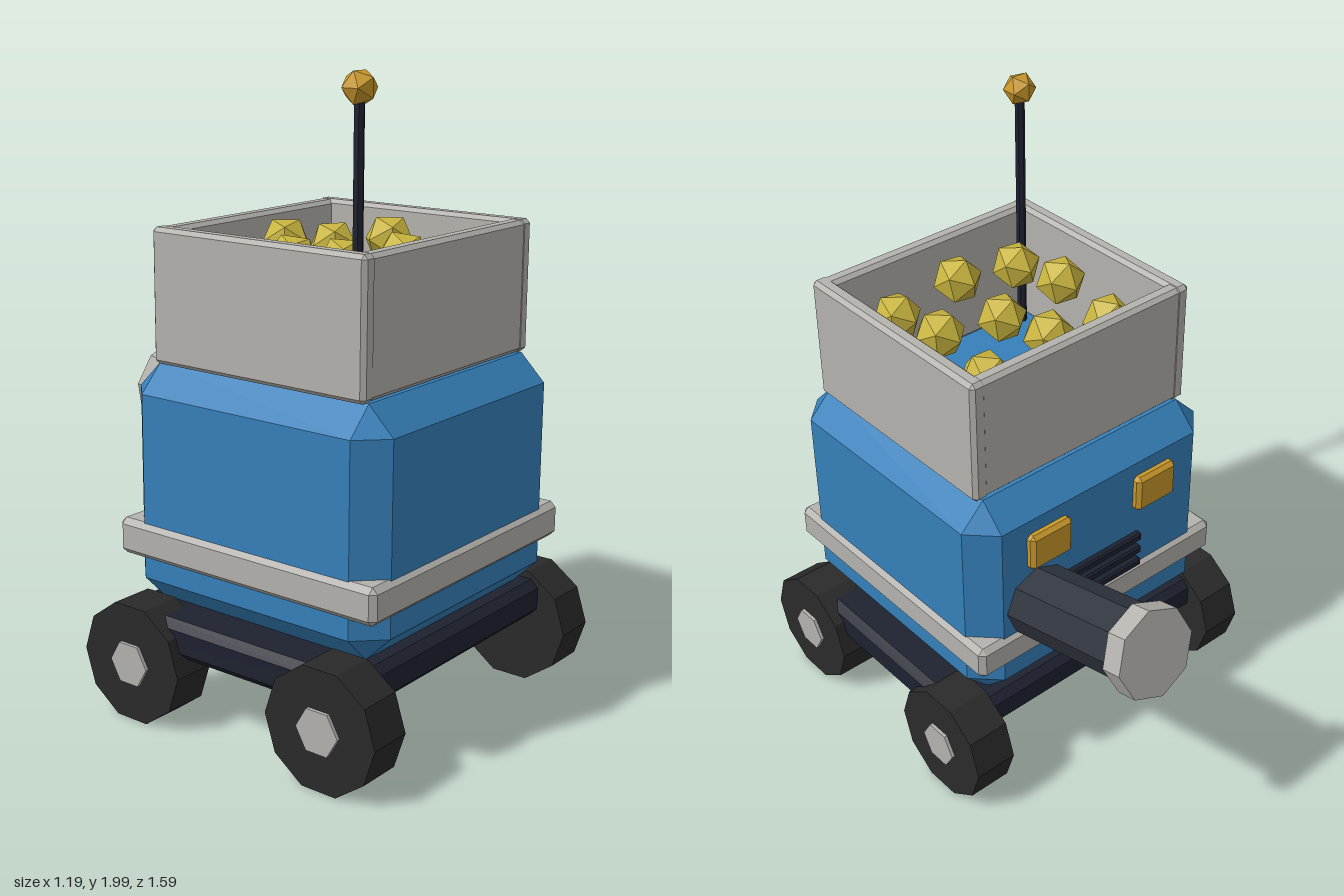
import * as THREE from 'three';
import { ConvexGeometry } from 'three/addons/geometries/ConvexGeometry.js';

const mat = (color) => new THREE.MeshStandardMaterial({ color, flatShading: true });
const blue = mat(0x3580ba), grey = mat(0xb4b2ad), navy = mat(0x1e2230), steel = mat(0x30353f);
const black = mat(0x2a2a2a), gold = mat(0xc8b43e), amber = mat(0xc9982a);

// Box with every edge and corner cut flat by c
function chamferBox(w, h, d, c) {
  const pts = [];
  for (const sx of [-1, 1]) for (const sy of [-1, 1]) for (const sz of [-1, 1]) {
    const x = w / 2, y = h / 2, z = d / 2;
    for (const [a, b, e] of [[0, c, c], [c, 0, c], [c, c, 0]]) {
      pts.push(new THREE.Vector3(sx * (x - a), sy * (y - b), sz * (z - e)));
    }
  }
  return new ConvexGeometry(pts);
}

export function createModel() {
  const model = new THREE.Group();
  model.name = 'cart';
  const add = (name, geometry, material, x, y, z, parent = model) => {
    const mesh = new THREE.Mesh(geometry, material);
    mesh.name = name;
    mesh.position.set(x, y, z);
    parent.add(mesh);
    return mesh;
  };
  const midZ = 0.239;

  // Chassis, body and belt
  add('chassis', chamferBox(1.1, 0.12, 0.92, 0.025), navy, 0, 0.288, midZ);
  add('body', chamferBox(0.97, 0.755, 0.95, 0.085), blue, 0, 0.7225, midZ);
  add('belt', chamferBox(1.0, 0.115, 0.976, 0.018), grey, 0, 0.552, midZ);

  // Wheels with six-sided hubs
  const tyre = new THREE.CylinderGeometry(0.195, 0.195, 0.145, 10).rotateZ(Math.PI / 2);
  const hub = new THREE.CylinderGeometry(0.074, 0.074, 0.155, 6).rotateZ(Math.PI / 2);
  for (const side of [-1, 1]) for (const z of [0.604, -0.126]) {
    const wheel = new THREE.Group();
    wheel.name = (z > 0 ? 'front' : 'back') + (side > 0 ? 'Left' : 'Right') + 'Wheel';
    wheel.position.set(side * 0.512, 0.1855, z);
    add('tyre', tyre, black, 0, 0, 0, wheel);
    add('hub', hub, grey, side * 0.006, 0, 0, wheel);
    model.add(wheel);
  }

  // Open hopper made of four walls
  const hopper = new THREE.Group();
  hopper.name = 'hopper';
  model.add(hopper);
  for (const s of [-1, 1]) {
    add('hopperSideWall', chamferBox(0.055, 0.415, 0.787, 0.013), grey, s * 0.4025, 1.3075, midZ, hopper);
    add('hopperEndWall', chamferBox(0.835, 0.411, 0.055, 0.013), grey, 0, 1.3075, midZ + s * 0.364, hopper);
  }

  // Three by three load of balls, alternately higher and lower
  const ball = new THREE.IcosahedronGeometry(0.081, 0);
  for (let i = 0; i < 3; i++) for (let j = 0; j < 3; j++) {
    const mesh = add('ball', ball, gold, (i - 1) * 0.243, (i + j) % 2 ? 1.432 : 1.392, 0.012 + j * 0.22);
    mesh.rotation.set(0.45 + j * 0.1, i * 0.15, 0.1);
  }

  // Antenna in the front right corner
  add('antennaRod', new THREE.CylinderGeometry(0.016, 0.016, 0.84, 6), navy, -0.345, 1.52, 0.545);
  add('antennaTip', new THREE.IcosahedronGeometry(0.053, 0), amber, -0.345, 1.948, 0.545);

  // Tilted pipe with a wider end cap
  const pipe = new THREE.Group();
  pipe.name = 'pipe';
  pipe.position.set(0.265, 0.83, -0.758);
  pipe.rotation.x = 0.25 - Math.PI / 2;
  add('pipeTube', new THREE.CylinderGeometry(0.12, 0.12, 0.66, 8), steel, 0, -0.37, 0, pipe);
  add('pipeCap', new THREE.CylinderGeometry(0.145, 0.145, 0.07, 8), grey, 0, -0.035, 0, pipe);
  model.add(pipe);

  // Back lamps and vent slats
  for (const s of [-1, 1]) {
    add('backLamp', chamferBox(0.165, 0.13, 0.06, 0.013), amber, s * 0.22, 0.9, -0.233);
  }
  for (let i = 0; i < 3; i++) {
    add('ventSlat', chamferBox(0.32, 0.03, 0.05, 0.006), navy, -0.005, 0.725 - i * 0.052, -0.233);
  }
  return model;
}
